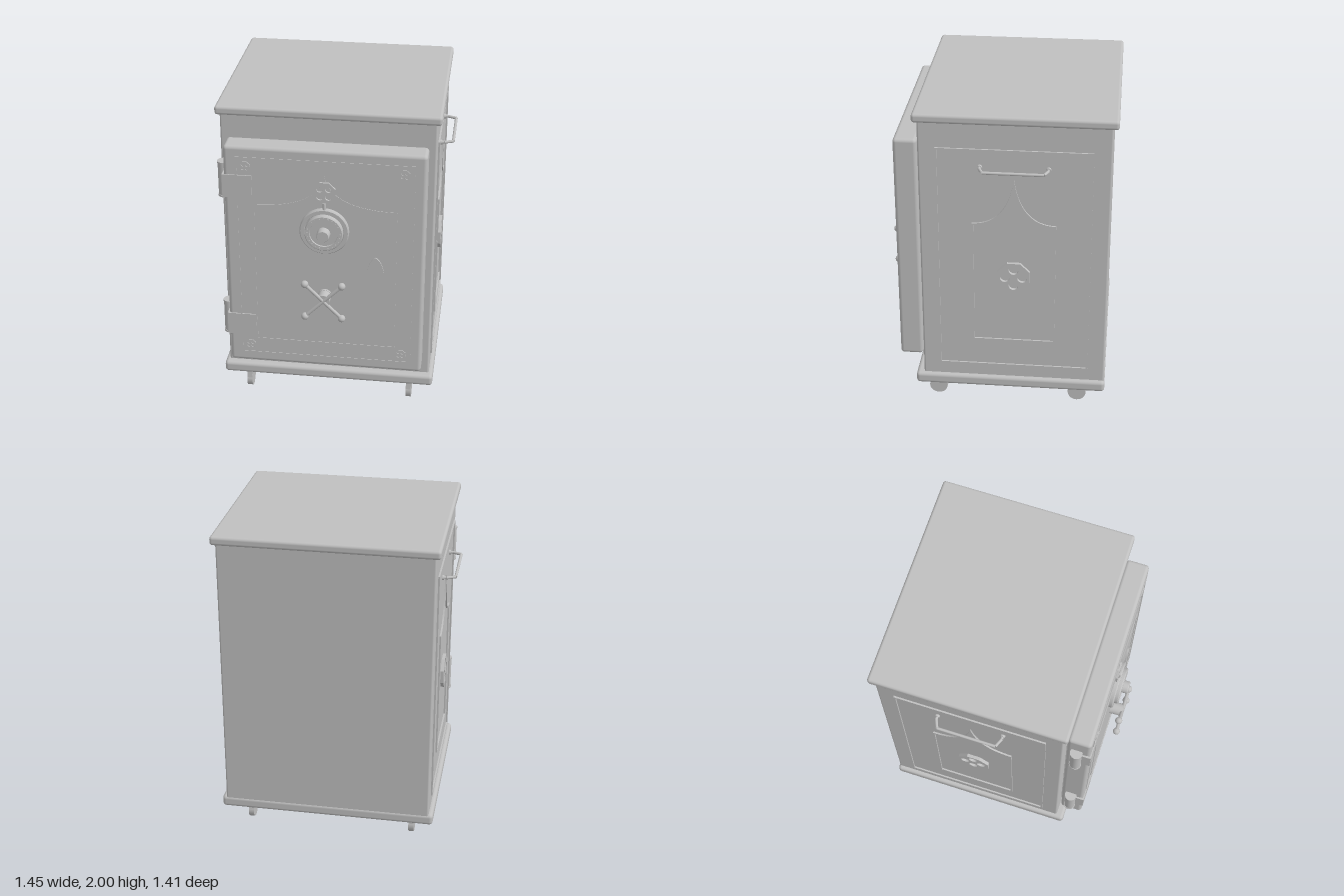
import * as THREE from 'three';
import { RoundedBoxGeometry } from 'three/addons/geometries/RoundedBoxGeometry.js';

const steel = new THREE.MeshStandardMaterial({ color: 0xbfbfbf });
steel.name = 'greySteel';

function add(parent, name, geometry, x = 0, y = 0, z = 0) {
  const mesh = new THREE.Mesh(geometry, steel);
  mesh.name = name;
  mesh.position.set(x, y, z);
  parent.add(mesh);
  return mesh;
}

// Rounded block given by its limits
function block(parent, name, x0, x1, y0, y1, z0, z1, r) {
  const g = new RoundedBoxGeometry(x1 - x0, y1 - y0, z1 - z0, 3, r);
  return add(parent, name, g, (x0 + x1) / 2, (y0 + y1) / 2, (z0 + z1) / 2);
}

const extrude = (shape, depth) =>
  new THREE.ExtrudeGeometry(shape, { depth, bevelEnabled: false, curveSegments: 16 });

// Cylinder along z, standing on z = 0
const disc = (r0, r1, depth, sides = 32) =>
  new THREE.CylinderGeometry(r1, r0, depth, sides).rotateX(Math.PI / 2).translate(0, 0, depth / 2);

// Outline of a rectangle, or of a panel with a pointed ogee top
function outline(w, y0, y1, apex, inset) {
  const a = w - inset, b = y0 + inset, c = y1 - inset;
  const s = new THREE.Shape().moveTo(-a, b).lineTo(a, b).lineTo(a, c);
  if (apex) {
    s.quadraticCurveTo(0.04, c, 0, apex - inset * 3);
    s.quadraticCurveTo(-0.04, c, -a, c);
  } else s.lineTo(-a, c);
  return s.closePath();
}

// Thin moulding following an outline
function moulding(parent, name, w, y0, y1, apex, width, depth) {
  const s = outline(w, y0, y1, apex, 0);
  s.holes.push(outline(w, y0, y1, apex, width));
  add(parent, name, extrude(s, depth));
}

// Eight-sided rosette with four round openings
function rosette(parent, name, x, y, r, depth, turn = 0) {
  const s = new THREE.Shape();
  for (let i = 0; i < 8; i++) {
    const a = (i + 0.5) * Math.PI / 4;
    s[i ? 'lineTo' : 'moveTo'](r * Math.cos(a), r * Math.sin(a));
  }
  s.closePath();
  for (let i = 0; i < 4; i++) {
    const a = i * Math.PI / 2 + turn;
    s.holes.push(new THREE.Path().absarc(r * 0.5 * Math.cos(a), r * 0.5 * Math.sin(a), r * 0.28, 0, Math.PI * 2, true));
  }
  add(parent, name, extrude(s, depth), x, y, 0);
}

function rod(parent, name, a, b, r) {
  const p = new THREE.Vector3(...a), q = new THREE.Vector3(...b);
  const m = add(parent, name, new THREE.CylinderGeometry(r, r, p.distanceTo(q), 12));
  m.position.copy(p).lerp(q, 0.5);
  m.quaternion.setFromUnitVectors(new THREE.Vector3(0, 1, 0), q.sub(p).normalize());
}

// Side decoration: frame, ogee panel, rosette and carrying handle
function sidePanel(side) {
  const g = new THREE.Group();
  g.name = side > 0 ? 'leftSidePanel' : 'rightSidePanel';
  moulding(g, 'sideFrame', 0.46, 0.315, 1.79, 0, 0.011, 0.01);
  moulding(g, 'sideOgeePanel', 0.25, 0.5, 1.31, 1.605, 0.01, 0.01);
  rosette(g, 'sideRosette', 0, 0.955, 0.105, 0.02);
  const pts = [[-0.2, 1.675, 0], [-0.2, 1.675, 0.025], [-0.178, 1.675, 0.077],
    [0.178, 1.675, 0.077], [0.2, 1.675, 0.025], [0.2, 1.675, 0]];
  for (let i = 0; i < 5; i++) rod(g, 'carryHandle', pts[i], pts[i + 1], 0.009);
  for (const x of [-0.2, 0.2]) add(g, 'handleFoot', disc(0.016, 0.014, 0.012, 16), x, 1.675, 0);
  g.rotation.y = side * Math.PI / 2;
  g.position.set(side * 0.64, 0, -0.11);
  return g;
}

function doorFittings() {
  const g = new THREE.Group();
  g.name = 'doorFittings';
  g.position.z = 0.605;
  moulding(g, 'doorFrame', 0.53, 0.395, 1.745, 0, 0.012, 0.003);
  moulding(g, 'doorOgeePanel', 0.43, 0.5, 1.44, 1.65, 0.01, 0.003);
  for (const x of [-0.468, 0.468]) for (const y of [0.46, 1.685])
    rosette(g, 'cornerRosette', x, y, 0.034, 0.005, Math.PI / 4);
  rosette(g, 'keyholeRosette', 0, 1.545, 0.072, 0.012, Math.PI / 4);
  rod(g, 'rosetteStem', [0, 1.43, 0.012], [0, 1.48, 0.012], 0.01);

  // Combination dial
  const profile = [[0.148, 0], [0.148, 0.018], [0.142, 0.025], [0.12, 0.025], [0.117, 0.018],
    [0.115, 0.018], [0.115, 0.042], [0.11, 0.048], [0.085, 0.048], [0.083, 0.04], [0.04, 0.04],
    [0.038, 0.08], [0.034, 0.086], [0, 0.086]];
  // Doubled points keep the turned edges crisp
  const rings = profile.flatMap(([r, h]) => [new THREE.Vector2(r, h), new THREE.Vector2(r, h)]);
  for (let i = 0; i + 2 < rings.length; i += 2) {
    const geo = new THREE.LatheGeometry([rings[i], rings[i + 2]], 40).rotateX(Math.PI / 2);
    add(g, 'combinationDial', geo, 0, 1.295, 0);
  }
  for (let i = 0; i < 24; i++) {
    const a = i * Math.PI / 12;
    add(g, 'dialMark', disc(0.005, 0.004, 0.004, 8), 0.099 * Math.cos(a), 1.295 + 0.099 * Math.sin(a), 0.047);
  }

  // Four-spoke turning handle
  add(g, 'handleBase', disc(0.042, 0.042, 0.014), 0, 0.85, 0);
  add(g, 'handleHub', disc(0.04, 0.04, 0.07), 0, 0.85, 0.01);
  for (const sx of [-1, 1]) for (const sy of [-1, 1]) {
    rod(g, 'handleSpoke', [0, 0.85, 0.077], [sx * 0.112, 0.85 + sy * 0.112, 0.077], 0.011);
    add(g, 'handleKnob', new THREE.SphereGeometry(0.023, 20, 14), sx * 0.112, 0.85 + sy * 0.112, 0.077);
  }

  // Key cover
  const cover = new THREE.Shape().moveTo(-0.05, -0.048).lineTo(0.05, -0.048)
    .quadraticCurveTo(0.038, 0.03, 0, 0.05).quadraticCurveTo(-0.038, 0.03, -0.05, -0.048);
  add(g, 'keyCover', extrude(cover, 0.009), 0.307, 1.082, 0);
  return g;
}

function hinge(y) {
  const g = new THREE.Group();
  g.name = 'hinge';
  g.position.y = y;
  add(g, 'hingeBarrel', new THREE.CylinderGeometry(0.034, 0.034, 0.21, 24), -0.612, 0, 0.525);
  for (const s of [-1, 1])
    add(g, 'hingeCap', new THREE.CylinderGeometry(0.037, 0.037, 0.012, 24), -0.612, s * 0.107, 0.525);
  add(g, 'hingePlate', new THREE.BoxGeometry(0.17, 0.147, 0.008), -0.515, -0.01, 0.608);
  add(g, 'hingeWrap', new THREE.BoxGeometry(0.012, 0.147, 0.09), -0.601, -0.01, 0.566);
  return g;
}

// Small wheel held by a tapered neck
function caster(x, z) {
  const g = new THREE.Group();
  g.name = 'caster';
  g.position.set(x, 0, z);
  add(g, 'wheel', new THREE.CylinderGeometry(0.057, 0.057, 0.034, 28).rotateZ(Math.PI / 2), 0, 0.06, 0);
  const neck = new THREE.Shape().moveTo(-0.054, 0.07).lineTo(0.054, 0.07).lineTo(0.042, 0.17).lineTo(-0.042, 0.17).closePath();
  add(g, 'casterNeck', extrude(neck, 0.032).translate(0, 0, -0.016).rotateY(Math.PI / 2));
  return g;
}

export function createModel() {
  const safe = new THREE.Group();
  safe.name = 'safe';

  // Cabinet
  block(safe, 'body', -0.64, 0.64, 0.2, 1.97, -0.675, 0.452, 0.012);
  block(safe, 'lid', -0.666, 0.666, 1.945, 2, -0.706, 0.48, 0.018);
  block(safe, 'plinth', -0.666, 0.666, 0.163, 0.236, -0.68, 0.5, 0.022);
  block(safe, 'door', -0.597, 0.597, 0.335, 1.81, 0.463, 0.605, 0.022);
  add(safe, 'doorStep', new THREE.BoxGeometry(1.1, 1.38, 0.03), 0, 1.07, 0.46);

  safe.add(doorFittings(), sidePanel(1), sidePanel(-1), hinge(1.565), hinge(0.615));
  for (const x of [-0.52, 0.512]) for (const z of [0.38, -0.505]) safe.add(caster(x, z));
  return safe;
}
